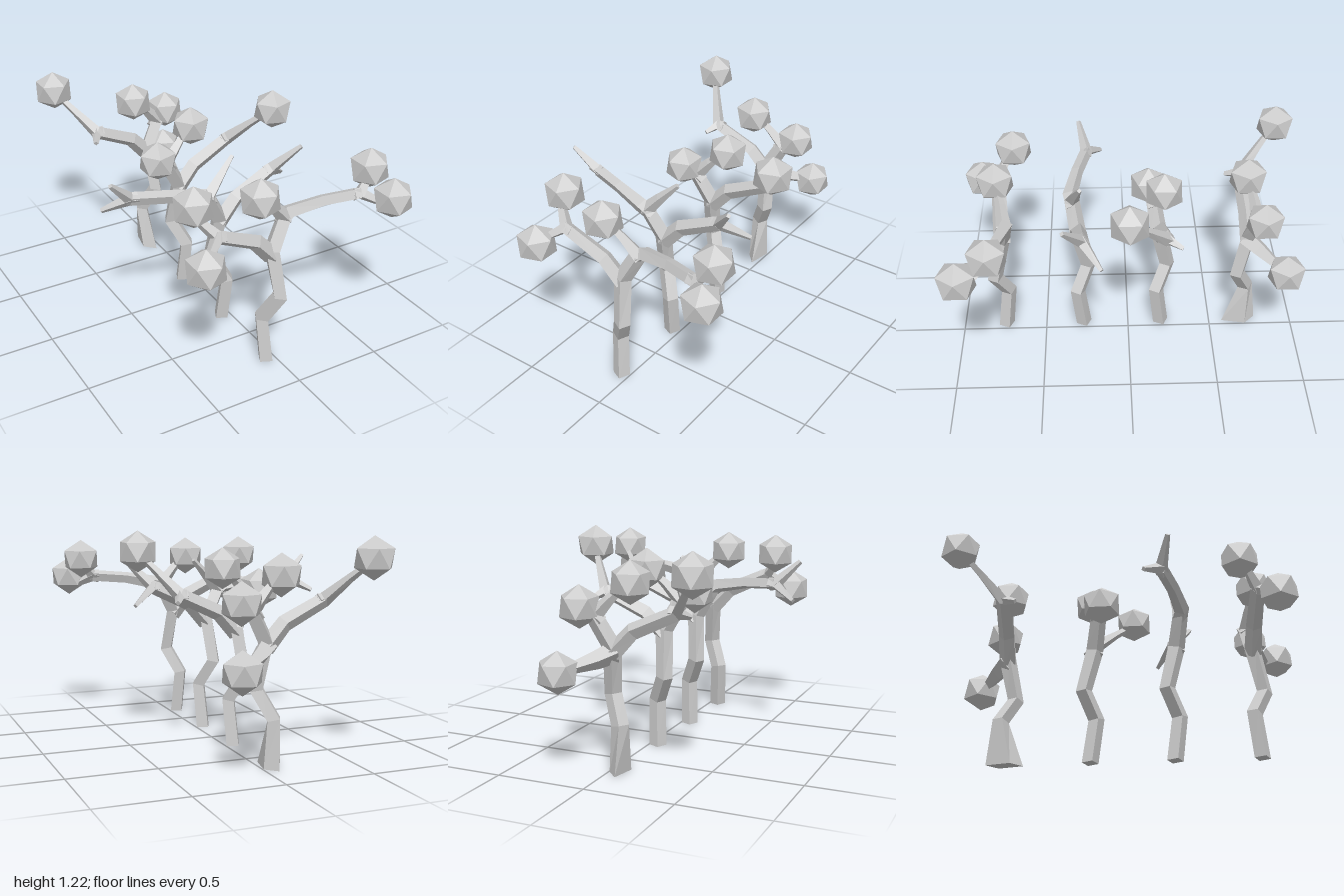
import * as THREE from 'three';

const material = new THREE.MeshStandardMaterial({ color: 0xcccccc, flatShading: true });

// Four-sided limb swept along nodes [x, y, z, radius]; 'corner' points one edge of the section.
function limbGeometry(nodes, corner) {
  const pts = nodes.map((n) => new THREE.Vector3(n[0], n[1], n[2]));
  const u = new THREE.Vector3(...corner);
  const pos = [], idx = [];
  pts.forEach((p, i) => {
    const t = new THREE.Vector3();
    if (i > 0) t.add(p.clone().sub(pts[i - 1]).normalize());
    if (i < pts.length - 1) t.add(pts[i + 1].clone().sub(p).normalize());
    t.normalize();
    u.addScaledVector(t, -u.dot(t)).normalize();
    const v = t.clone().cross(u);
    for (let k = 0; k < 4; k++) {
      const a = (k * Math.PI) / 2;
      const q = p.clone().addScaledVector(u, Math.cos(a) * nodes[i][3]).addScaledVector(v, Math.sin(a) * nodes[i][3]);
      pos.push(q.x, q.y, q.z);
      if (i > 0) {
        const A = (i - 1) * 4 + k, B = (i - 1) * 4 + ((k + 1) % 4);
        idx.push(A, B, B + 4, A, B + 4, A + 4);
      }
    }
  });
  const e = (pts.length - 1) * 4;
  idx.push(0, 2, 1, 0, 3, 2, e, e + 1, e + 2, e, e + 2, e + 3);
  const g = new THREE.BufferGeometry();
  g.setAttribute('position', new THREE.Float32BufferAttribute(pos, 3));
  g.setIndex(idx);
  return g;
}

function addMesh(parent, geometry, name) {
  geometry = geometry.index ? geometry.toNonIndexed() : geometry;
  geometry.computeVertexNormals();
  const mesh = new THREE.Mesh(geometry, material);
  mesh.name = name;
  parent.add(mesh);
  return mesh;
}

const UP = [0, 1, 0.15];
const FORK = [0.03, 0.67, -0.02];
const KNEE = [0.12, 0.835, -0.05];
const LEFT_FORK = [-0.32, 0.87, 0.01];
const RIGHT_FORK = [0.54, 0.9, 0.035];

// Leaf clump with one vertex straight up
const leafGeometry = new THREE.IcosahedronGeometry(0.116, 0).rotateZ(-Math.atan(2 / (1 + Math.sqrt(5))));

function makeTree({ limbs, leaves, flared }) {
  const tree = new THREE.Group();

  // Crooked trunk running into the short upper arm
  const trunk = limbGeometry([
    [0, 0, 0, 0.048], [-0.015, 0.26, -0.03, 0.047], [0.055, 0.41, 0.035, 0.047],
    [...FORK, 0.05], [...KNEE, 0.045],
  ], [0.35, 0, 0.94]);
  const p = trunk.attributes.position;
  for (let i = 0; i < 4; i++) {
    p.setY(i, 0);
    if (flared) p.setZ(i, p.getZ(i) * 2.3);
  }
  addMesh(tree, trunk, 'trunk');

  // Arm on the far side, and the twig curling back over the trunk
  addMesh(tree, limbGeometry([[0.03, 0.64, -0.02, 0.05], [-0.08, 0.76, -0.01, 0.046],
    [...LEFT_FORK, 0.04]], UP), 'leftArm');
  addMesh(tree, limbGeometry([[0.13, 0.82, -0.05, 0.045], [0.04, 0.92, -0.03, 0.03],
    [-0.06, 1.02, 0, 0.014]], [0, 0, 1]), 'topTwig');

  limbs.forEach(([name, nodes]) => addMesh(tree, limbGeometry(nodes, UP), name));
  leaves.forEach((c) => addMesh(tree, leafGeometry.clone(), 'leafClump').position.set(...c));
  return tree;
}

// Spreading tree: long right arm, both arms forked
const spreadingLimbs = [
  ['rightArm', [[0.09, 0.8, -0.045, 0.04], [0.15, 0.85, -0.06, 0.045], [0.34, 0.885, -0.02, 0.036], [...RIGHT_FORK, 0.036]]],
  ['rightUpperTwig', [[0.5, 0.89, 0.03, 0.035], [...RIGHT_FORK, 0.036], [0.67, 1.03, -0.01, 0.014]]],
  ['rightLowerTwig', [[0.5, 0.9, 0.03, 0.035], [...RIGHT_FORK, 0.036], [0.67, 0.825, 0.12, 0.014]]],
  ['leftUpperTwig', [[-0.28, 0.86, 0.01, 0.036], [...LEFT_FORK, 0.038], [-0.45, 1.02, -0.09, 0.014]]],
  ['leftLowerTwig', [[-0.28, 0.86, 0.01, 0.036], [...LEFT_FORK, 0.038], [-0.46, 0.775, 0.115, 0.014]]],
];
const spreadingLeaves = [
  [-0.40, 1.015, -0.085], [-0.445, 0.778, 0.115], [-0.065, 1.01, 0], [0.625, 1.01, -0.005], [0.665, 0.892, 0.155],
];

// Compact tree: stubby right arm, one long left twig
const compactLimbs = [
  ['rightStub', [[0.08, 0.8, -0.045, 0.038], [0.13, 0.85, -0.06, 0.04], [0.2, 0.88, -0.08, 0.025]]],
  ['leftLongTwig', [[-0.28, 0.86, 0.01, 0.036], [...LEFT_FORK, 0.04], [-0.41, 0.99, -0.1, 0.024], [-0.49, 1.09, -0.2, 0.016]]],
  ['leftSpur', [[-0.28, 0.87, 0.005, 0.036], [...LEFT_FORK, 0.034], [-0.36, 0.838, 0.09, 0.015]]],
];
const compactLeaves = [[-0.49, 1.1, -0.205], [-0.065, 1.01, 0], [0.19, 0.88, -0.075]];

// Low bough on the last trunk
const lowBough = ['lowBough', [[0.02, 0.645, -0.01, 0.06], [0.09, 0.61, -0.08, 0.05], [0.23, 0.56, -0.2, 0.022]]];

export function createModel() {
  const model = new THREE.Group();
  model.name = 'treeRow';
  const trees = [
    ['frontTree', 0.745, false, { limbs: spreadingLimbs, leaves: spreadingLeaves }],
    ['bareTree', 0.27, true, { limbs: spreadingLimbs, leaves: [] }],
    ['thirdTree', -0.2, true, { limbs: compactLimbs, leaves: compactLeaves }],
    ['backTree', -0.68, false, {
      limbs: [...compactLimbs, lowBough], leaves: [...compactLeaves, [0.245, 0.557, -0.215]], flared: true,
    }],
  ];
  trees.forEach(([name, z, turned, options]) => {
    const tree = makeTree(options);
    tree.name = name;
    tree.position.set(-0.05, 0, z);
    if (turned) tree.rotation.y = Math.PI;
    model.add(tree);
  });
  return model;
}
